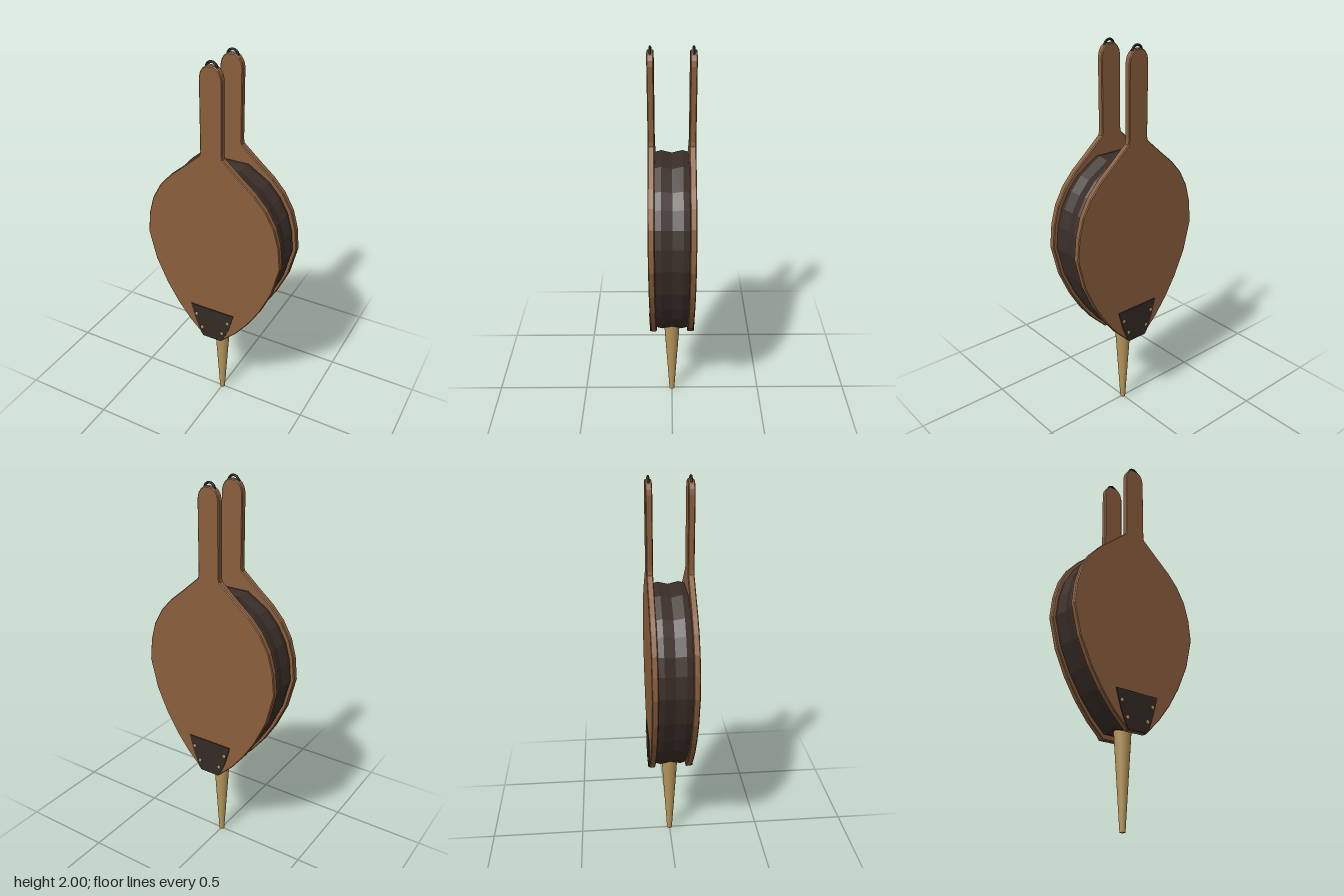
import * as THREE from 'three';

const mat = (color, flatShading = false) => new THREE.MeshStandardMaterial({ color, flatShading });
const wood = mat(0x8b5e3c, true);
const leather = mat(0x3a2e28, true);
const iron = mat(0x332a25, true);
const brass = mat(0xb8975a);

// Right half of the pear-shaped body, from bottom to shoulder
const BODY = [
  [0.055, 0.45], [0.138, 0.532], [0.21, 0.624], [0.275, 0.73], [0.338, 0.868], [0.377, 1.03],
  [0.365, 1.148], [0.338, 1.243], [0.29, 1.328], [0.228, 1.397], [0.153, 1.46],
];
const HANDLE = [[0.062, 1.54], [0.058, 1.56], [0.058, 1.92], [0.052, 1.945], [0.04, 1.964], [0.021, 1.978]];

// Closes a half profile into a full counter-clockwise outline
const mirrored = (half) => [...half, ...half.map(([x, y]) => [-x, y]).reverse()];
const toShape = (points) => new THREE.Shape(points.map(([x, y]) => new THREE.Vector2(x, y)));

function add(parent, name, geometry, material) {
  const mesh = new THREE.Mesh(geometry, material);
  mesh.name = name;
  parent.add(mesh);
  return mesh;
}

// Pleated leather wall: scaled copies of the outline joined along z
function bellowsGeometry() {
  const outline = mirrored([...BODY.slice(0, -1), [0.106, 1.473]]);
  const layers = [[-0.09, 0.943], [-0.053, 0.964], [0, 0.94], [0.053, 0.964], [0.09, 0.943]];
  const n = outline.length, cy = 0.97;
  const positions = [], index = [];
  layers.forEach(([z, s], k) => {
    outline.forEach(([x, y], i) => {
      positions.push(x * s, cy + (y - cy) * s, z);
      if (k === layers.length - 1) return;
      const a = k * n + i, b = k * n + (i + 1) % n;
      index.push(a, b, b + n, a, b + n, a + n);
    });
  });
  const g = new THREE.BufferGeometry();
  g.setAttribute('position', new THREE.Float32BufferAttribute(positions, 3));
  g.setIndex(index);
  const flat = g.toNonIndexed();
  flat.computeVertexNormals();
  return flat;
}

// One board with its handle, hanging loop, iron plate and studs, facing +z
function createSide(name) {
  const side = new THREE.Group();
  side.name = name;

  const bevel = 0.004;
  const board = new THREE.ExtrudeGeometry(toShape(mirrored([...BODY, ...HANDLE])), {
    depth: 0.032 - 2 * bevel, bevelEnabled: true, bevelSize: bevel,
    bevelThickness: bevel, bevelOffset: -bevel, bevelSegments: 1,
  });
  add(side, 'board', board, wood).position.z = 0.083 + bevel;

  const loop = add(side, 'hangingLoop', new THREE.TorusGeometry(0.028, 0.006, 8, 20), iron);
  loop.position.set(0, 1.966, 0.099);

  const plate = new THREE.ExtrudeGeometry(
    toShape(mirrored([[0.055, 0.453], [0.07, 0.475], [0.1, 0.55], [0.127, 0.648]])),
    { depth: 0.007, bevelEnabled: false });
  add(side, 'noseplate', plate, iron).position.z = 0.113;

  for (const [x, y] of [[0.094, 0.59], [0.061, 0.51]]) {
    for (const s of [-1, 1]) {
      const stud = add(side, 'stud', new THREE.SphereGeometry(0.01, 10, 6), brass);
      stud.scale.z = 0.4;
      stud.position.set(s * x, y, 0.12);
    }
  }
  return side;
}

export function createModel() {
  const model = new THREE.Group();
  model.name = 'bellows';

  // Two matching boards, back to back
  const back = createSide('backSide');
  back.rotation.y = Math.PI;
  model.add(createSide('frontSide'), back);

  add(model, 'leatherPleats', bellowsGeometry(), leather);

  // Tapered nozzle
  const nozzle = add(model, 'nozzle', new THREE.CylinderGeometry(0.046, 0.014, 0.51, 20), brass);
  nozzle.position.y = 0.255;

  return model;
}
